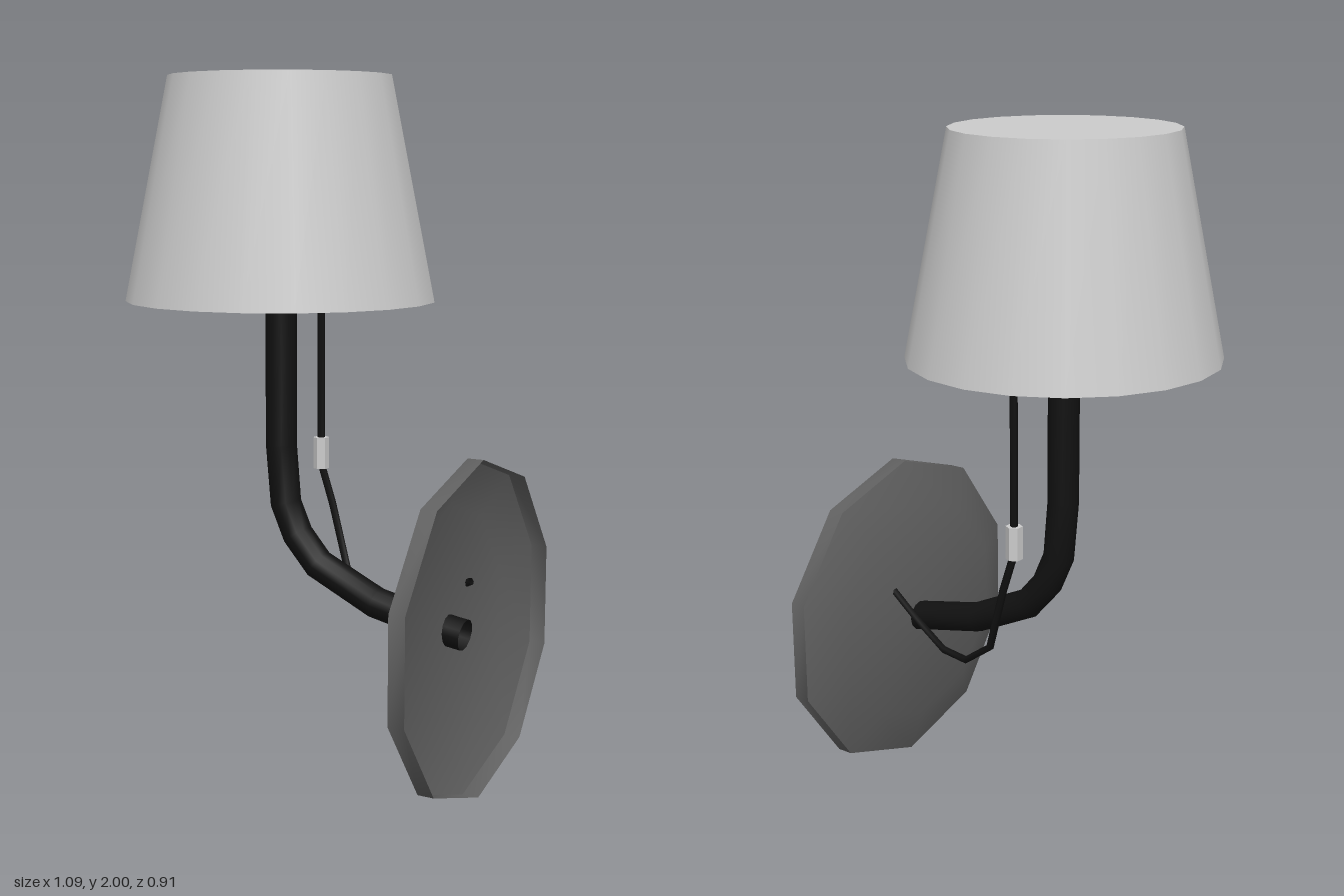
import * as THREE from 'three';
import { toCreasedNormals } from 'three/addons/utils/BufferGeometryUtils.js';

const grey = new THREE.MeshStandardMaterial({ color: 0xcccccc });
const darkGrey = new THREE.MeshStandardMaterial({ color: 0x606060, side: THREE.DoubleSide });
const black = new THREE.MeshStandardMaterial({ color: 0x111111, side: THREE.DoubleSide });

// Path of straight runs, with one tube ring at each corner
class CornerPath extends THREE.Curve {
  constructor(points) {
    super();
    this.points = points.map((p) => new THREE.Vector3(...p));
    this.runs = points.length - 1;
  }
  getPoint(t, target = new THREE.Vector3()) {
    const i = Math.min(Math.floor(t * this.runs + 1e-6), this.runs - 1);
    return target.lerpVectors(this.points[i], this.points[i + 1], t * this.runs - i);
  }
  getPointAt(t, target) {
    return this.getPoint(t, target);
  }
  getTangentAt(t, target = new THREE.Vector3()) {
    const i = Math.round(t * this.runs);
    target.set(0, 0, 0);
    for (const k of [i - 1, i]) {
      if (k < 0 || k >= this.runs) continue;
      target.add(this.points[k + 1].clone().sub(this.points[k]).normalize());
    }
    return target.normalize();
  }
}

function bentTube(points, radius, sides) {
  const path = new CornerPath(points);
  return new THREE.TubeGeometry(path, path.runs, radius, sides, false);
}

export function createModel() {
  const group = new THREE.Group();
  const add = (name, geometry, material, x = 0, y = 0, z = 0) => {
    const mesh = new THREE.Mesh(geometry, material);
    mesh.name = name;
    mesh.position.set(x, y, z);
    group.add(mesh);
  };

  // Tapered shade, closed at both ends
  add('shade', new THREE.CylinderGeometry(0.317, 0.443, 0.63, 20), grey, -0.1, 1.685, 0);

  // Ten-sided wall plate: a shallow chamfered shell, open towards the wall
  const profile = [[0, 0.445], [0.345, 0.445], [0.48, 0.495], [0.48, 0.543]]
    .map(([r, h]) => new THREE.Vector2(r, h));
  const plate = new THREE.LatheGeometry(profile, 10, Math.PI / 2);
  plate.rotateZ(-Math.PI / 2);
  add('wallPlate', toCreasedNormals(plate, 0.7), darkGrey, 0, 0.482, 0);

  // Bent arm, its open end poking through the plate
  add('arm', bentTube([
    [-0.1, 1.375, 0], [-0.1, 0.95, 0], [-0.085, 0.78, 0], [-0.045, 0.69, 0],
    [0.025, 0.61, 0], [0.215, 0.52, 0], [0.45, 0.47, 0], [0.495, 0.464, 0],
  ], 0.045, 12), black);

  // Cord hanging from the shade and looping under the arm to the plate
  add('cord', bentTube([
    [-0.1, 1.375, -0.23], [-0.1, 0.86, -0.23], [-0.06, 0.74, -0.23], [0.0, 0.55, -0.215],
    [0.11, 0.473, -0.19], [0.21, 0.473, -0.17], [0.34, 0.53, -0.14], [0.46, 0.59, -0.11],
  ], 0.011, 6), black);

  // Inline switch on the cord
  const switchBody = toCreasedNormals(new THREE.CylinderGeometry(0.024, 0.024, 0.095, 6), 0.5);
  add('cordSwitch', switchBody, grey, -0.1, 0.892, -0.23);

  return group;
}
